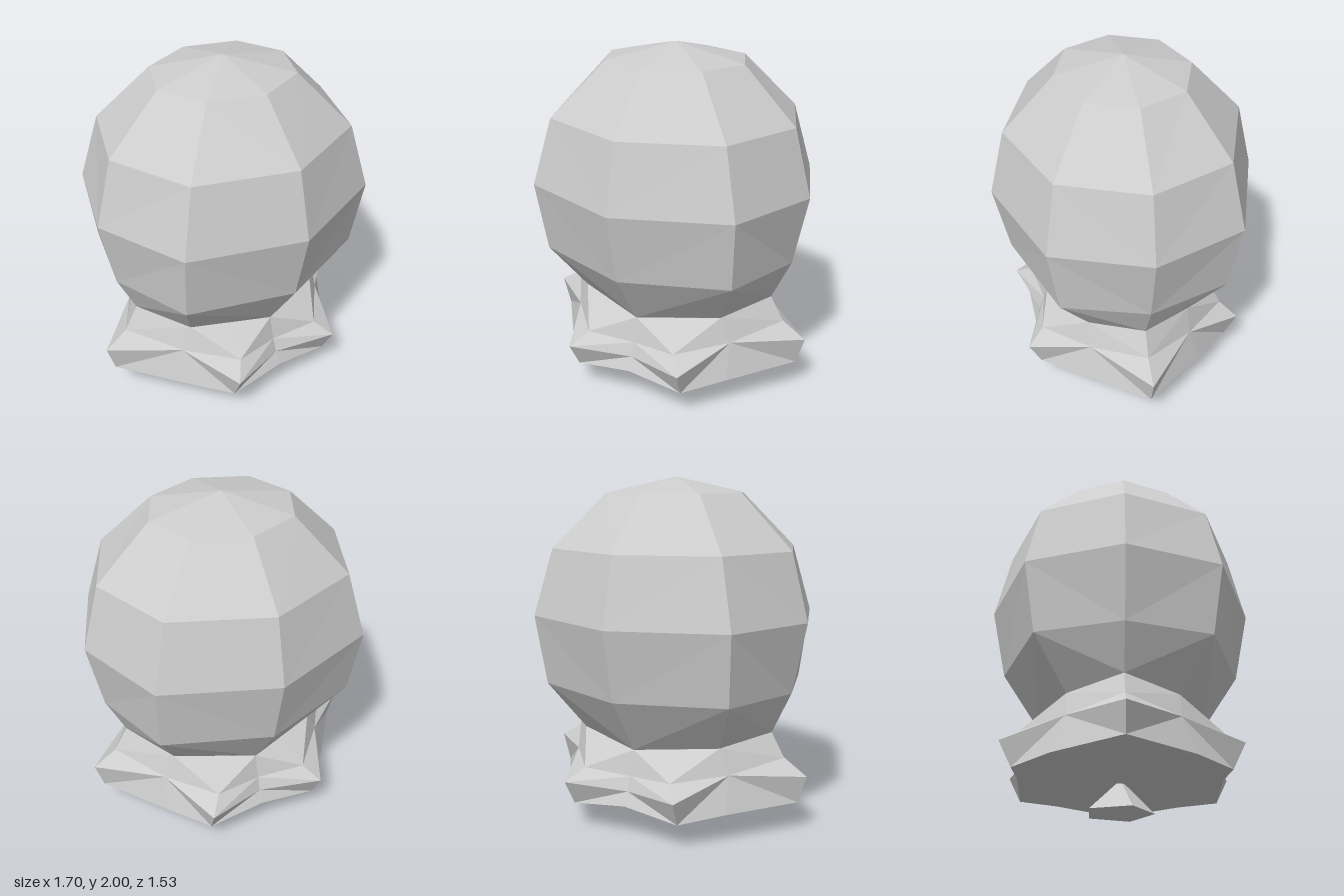
import * as THREE from 'three';

// Rings run from top to bottom; each lists the corners of one quarter, from +x round to +z.
// The quarter is mirrored in x and z to close the shape.
function mirroredShell(rings) {
  const pos = [];
  const v = (p) => new THREE.Vector3(...p);
  const addTriangle = (a, b, c, sx, sz) => {
    const area = v(b).sub(v(a)).cross(v(c).sub(v(a))).length();
    if (area < 1e-7) return;
    const order = sx * sz > 0 ? [a, b, c] : [a, c, b];
    for (const [x, y, z] of order) pos.push(x * sx, y, z * sz);
  };
  for (const sx of [1, -1]) {
    for (const sz of [1, -1]) {
      for (let i = 0; i < rings.length - 1; i++) {
        for (let j = 0; j < rings[i].length - 1; j++) {
          const a = rings[i][j], b = rings[i][j + 1];
          const c = rings[i + 1][j], d = rings[i + 1][j + 1];
          if (j % 2) {
            addTriangle(a, b, d, sx, sz);
            addTriangle(a, d, c, sx, sz);
          } else {
            addTriangle(a, b, c, sx, sz);
            addTriangle(b, d, c, sx, sz);
          }
        }
      }
    }
  }
  const geo = new THREE.BufferGeometry();
  geo.setAttribute('position', new THREE.Float32BufferAttribute(pos, 3));
  geo.computeVertexNormals();
  return geo;
}

export function createModel() {
  const group = new THREE.Group();
  const grey = new THREE.MeshStandardMaterial({ color: 0xcccccc });
  grey.name = 'light grey';
  grey.flatShading = true;
  const add = (name, geo) => {
    const mesh = new THREE.Mesh(geo, grey);
    mesh.name = name;
    group.add(mesh);
    return mesh;
  };

  // Globe: eight-sided rings, slightly wider in x than in z
  const globeRing = (y, rx, dx, dz, rz) => [[rx, y, 0], [dx, y, dz], [0, y, rz]];
  const neck = [[0.63, 0.57, 0], [0.45, 0.525, 0.30], [0, 0.495, 0.475]];
  add('globe', mirroredShell([
    globeRing(2, 0, 0, 0, 0),
    globeRing(1.91, 0.42, 0.30, 0.27, 0.38),
    globeRing(1.6, 0.73, 0.54, 0.468, 0.67),
    globeRing(1.215, 0.83, 0.63, 0.535, 0.763),
    globeRing(0.81, 0.745, 0.593, 0.476, 0.68),
    neck,
  ]));

  // Frilled collar: lobes at the sides and beside the front and back dips
  const center = [0, 0.165, 0];
  add('collar', mirroredShell([
    [neck[0], neck[1], [0.26, 0.5123, 0.3761], neck[2]],
    [[0.71, 0.43, 0], [0.51, 0.38, 0.30], [0.28, 0.37, 0.555], [0, 0.35, 0.51]],
    [[0.85, 0.34, 0], [0.51, 0.38, 0.30], [0.355, 0.295, 0.65], [0, 0.27, 0.54]],
    [[0.80, 0.18, 0], [0.525, 0.175, 0.37], [0.34, 0.153, 0.58], [0, 0.193, 0.575]],
    [[0.61, 0.137, 0], [0.40, 0.16, 0.26], [0.20, 0.158, 0.36], [0, 0.175, 0.36]],
    [center, center, center, center],
  ]));

  // Foot: five-sided cone, its back stretched a little
  const footGeo = new THREE.ConeGeometry(0.19, 0.19, 5);
  const p = footGeo.attributes.position;
  for (let i = 0; i < p.count; i++) {
    if (p.getZ(i) < -0.1) p.setZ(i, p.getZ(i) * 1.12);
  }
  footGeo.computeVertexNormals();
  add('foot', footGeo).position.y = 0.095;

  return group;
}
